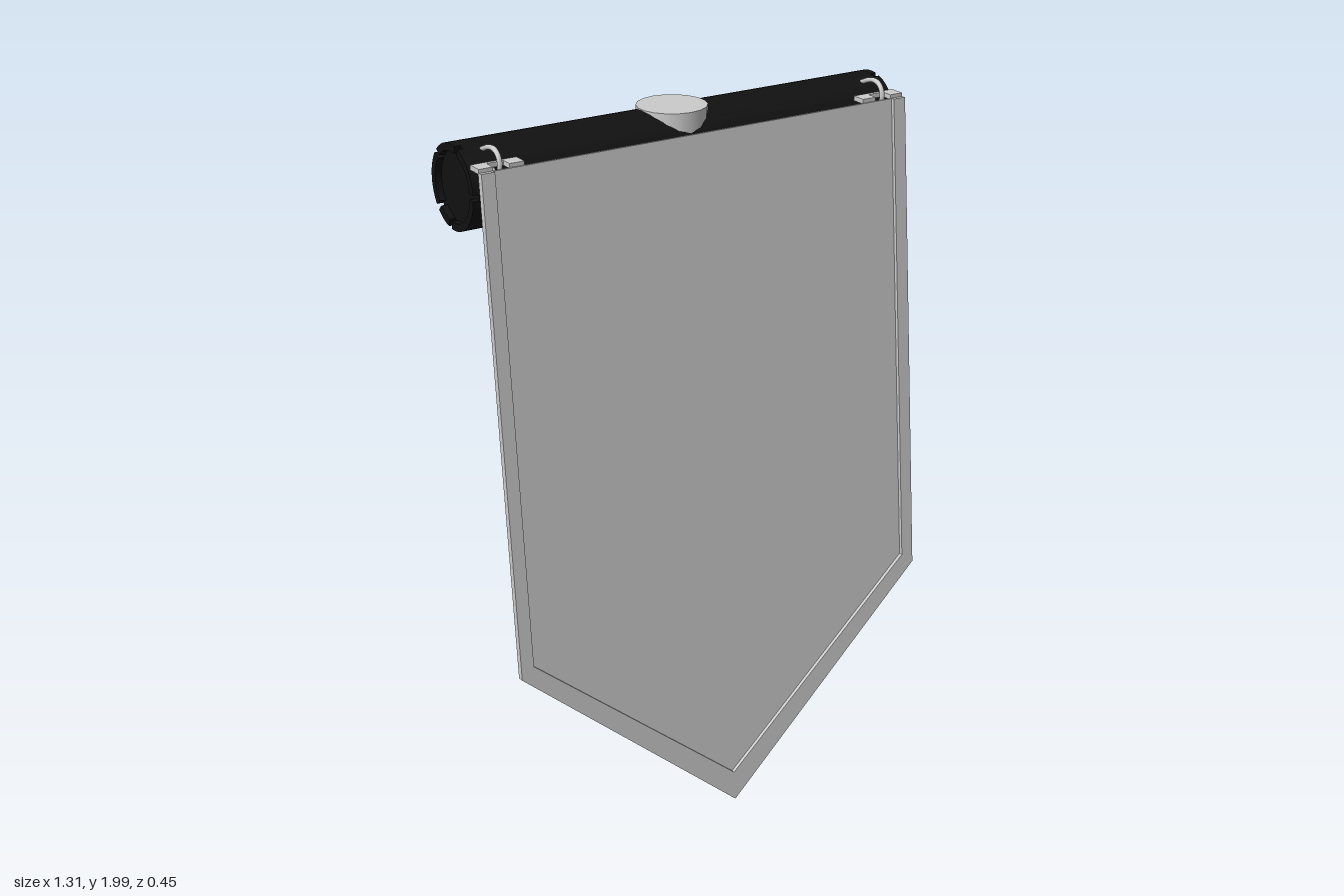
import * as THREE from 'three';

const BAR_R = 0.114, BAR_Y = 1.873, BAR_Z = -0.106, HALF = 0.655;

export function createModel() {
  const root = new THREE.Group();
  const grey = new THREE.MeshStandardMaterial({ color: 0xcccccc, side: THREE.DoubleSide });
  const black = new THREE.MeshStandardMaterial({ color: 0x111111, side: THREE.DoubleSide });

  const add = (parent, name, geometry, material = grey) => {
    const mesh = new THREE.Mesh(geometry, material);
    mesh.name = name;
    parent.add(mesh);
    return mesh;
  };
  const extrude = (points, depth) => new THREE.ExtrudeGeometry(
    new THREE.Shape(points.map(([x, y]) => new THREE.Vector2(x, y))),
    { depth, bevelEnabled: false });

  // Upright pole with a narrower neck that passes through the crossbar
  add(root, 'pole', new THREE.CylinderGeometry(0.114, 0.114, 1.457, 32))
    .position.set(0, 1.0275, BAR_Z);
  add(root, 'poleNeck', new THREE.CylinderGeometry(0.096, 0.096, 0.24, 18))
    .position.set(0, 1.87, BAR_Z);

  // Crossbar
  const rim = 0.018;
  const bar = add(root, 'crossbar',
    new THREE.CylinderGeometry(BAR_R, BAR_R, 2 * (HALF - rim), 40), black);
  bar.rotation.z = Math.PI / 2;
  bar.position.set(0, BAR_Y, BAR_Z);

  // Notched rims around the recessed bar ends
  const notches = [0, 75, 139, 221, 260].map(THREE.MathUtils.degToRad);
  const gap = 0.07;
  for (const side of [1, -1]) {
    const end = new THREE.Group();
    end.name = side > 0 ? 'leftBarRim' : 'rightBarRim';
    notches.forEach((a, i) => {
      const from = a + gap;
      const to = (notches[i + 1] ?? notches[0] + Math.PI * 2) - gap;
      const arc = new THREE.Shape();
      arc.absarc(0, 0, BAR_R, from, to, false);
      arc.absarc(0, 0, 0.094, to, from, true);
      add(end, 'rimSegment', new THREE.ExtrudeGeometry(arc,
        { depth: rim, bevelEnabled: false, curveSegments: 10 }), black);
    });
    // shape x runs along world z, extrusion runs along world x
    end.children.forEach(m => {
      m.geometry.applyMatrix4(new THREE.Matrix4().set(
        0, 0, 1, 0,
        0, -1, 0, 0,
        1, 0, 0, 0,
        0, 0, 0, 1).multiply(new THREE.Matrix4().makeScale(1, -1, 1)));
      // the mapping mirrors, so restore the winding
      const p = m.geometry.attributes.position, n = m.geometry.attributes.normal;
      for (let i = 0; i < p.count; i += 3) {
        for (const attr of [p, n]) {
          const b = new THREE.Vector3().fromBufferAttribute(attr, i + 1);
          const c = new THREE.Vector3().fromBufferAttribute(attr, i + 2);
          attr.setXYZ(i + 1, c.x, c.y, c.z);
          attr.setXYZ(i + 2, b.x, b.y, b.z);
        }
      }
    });
    end.position.set(side > 0 ? HALF - rim : -HALF, BAR_Y, BAR_Z);
    root.add(end);
  }

  // Hanging banner: thin pointed panel with a raised border on sides and point
  const banner = new THREE.Group();
  banner.name = 'banner';
  banner.position.set(0, 1.947, 0.036);
  banner.rotation.x = -0.088;
  root.add(banner);
  const w = 0.653, iw = 0.615;
  add(banner, 'bannerPanel', extrude(
    [[-w, 0], [-w, -1.376], [0, -1.948], [w, -1.376], [w, 0]], 0.007));
  add(banner, 'bannerBorder', extrude(
    [[-w, 0], [-w, -1.376], [0, -1.948], [w, -1.376], [w, 0],
      [iw, 0], [iw, -1.346], [0, -1.862], [-iw, -1.346], [-iw, 0]], 0.018));

  // Slotted tabs on the banner's top corners, each with a hook to the bar
  const hookPath = new THREE.CatmullRomCurve3([
    [1.938, -0.008], [1.918, 0.004], [1.926, 0.022], [1.955, 0.033],
    [1.98, 0.024], [1.991, 0.002], [1.988, -0.025], [1.975, -0.06],
  ].map(([y, z]) => new THREE.Vector3(0, y, z)));
  for (const side of [1, -1]) {
    const hanger = new THREE.Group();
    hanger.name = side > 0 ? 'leftHanger' : 'rightHanger';
    // [centre x, width, centre z, depth]
    for (const [x, bw, z, d] of [
      [0.588, 0.13, 0.0, 0.011], [0.633, 0.04, 0.02, 0.04], [0.544, 0.042, 0.02, 0.034],
    ]) {
      add(hanger, 'tab', new THREE.BoxGeometry(bw, 0.013, d)).position.set(side * x, 1.951, z);
    }
    add(hanger, 'hook', new THREE.TubeGeometry(hookPath, 28, 0.007, 8)).position.x = side * 0.59;
    root.add(hanger);
  }

  return root;
}
